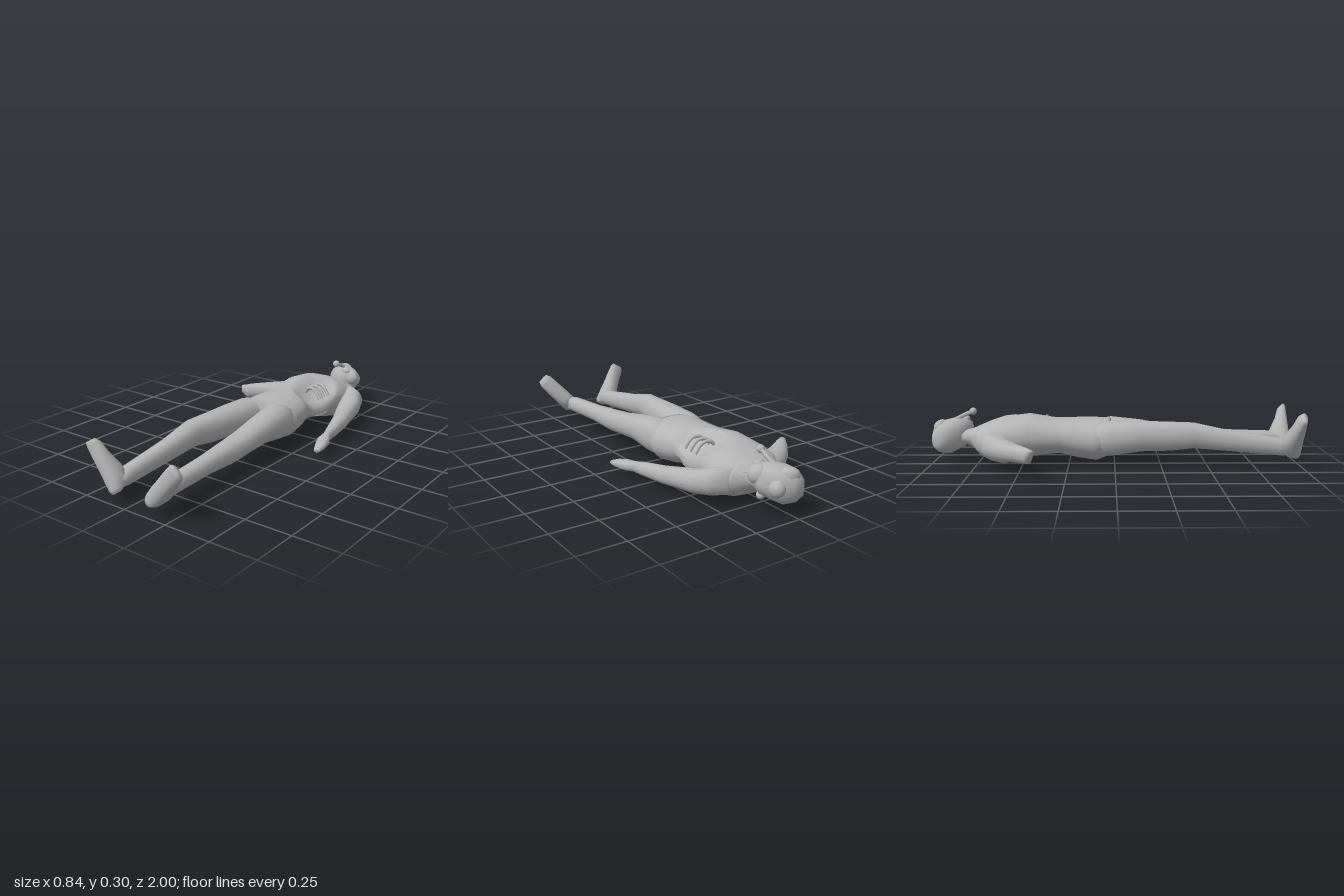
import * as THREE from 'three';

const grey = new THREE.MeshStandardMaterial({ color: 0xb4b4b4 });
grey.name = 'plain grey';
const V = (x, y, z) => new THREE.Vector3(x, y, z);

// Closed skin over rings [x, y, z, halfWidth, heightUp, heightDown], all square to one axis
function loft(name, axis, up, rings, { sides = 16, steps = 1, shape } = {}) {
  const a = axis.clone().normalize();
  const v = up.clone().addScaledVector(a, -up.dot(a)).normalize();
  const u = v.clone().cross(a);
  const rows = [];
  rings.forEach((r, i) => {
    const next = rings[i + 1];
    const count = next ? steps : 1;
    for (let s = 0; s < count; s++) rows.push(r.map((q, k) => (next ? q + (next[k] - q) * s / steps : q)));
  });
  const soft = (t) => Math.sign(t) * Math.pow(Math.abs(t), 0.88);
  const pos = [], index = [];
  for (const [x, y, z, w, hUp, hDown] of rows) {
    for (let j = 0; j < sides; j++) {
      const t = (j / sides) * Math.PI * 2, s = Math.sin(t);
      const p = V(x, y, z).addScaledVector(u, soft(Math.cos(t)) * w).addScaledVector(v, s > 0 ? soft(s) * hUp : s * hDown);
      if (shape) shape(p);
      pos.push(p.x, p.y, p.z);
    }
  }
  const n = rows.length;
  for (let i = 0; i < n - 1; i++) {
    for (let j = 0; j < sides; j++) {
      const k = (j + 1) % sides, A = i * sides, B = A + sides;
      index.push(A + j, A + k, B + j, A + k, B + k, B + j);
    }
  }
  // End caps
  const first = n * sides;
  pos.push(...rows[0].slice(0, 3), ...rows[n - 1].slice(0, 3));
  for (let j = 0; j < sides; j++) {
    const k = (j + 1) % sides, L = (n - 1) * sides;
    index.push(first, k, j, first + 1, L + j, L + k);
  }
  const g = new THREE.BufferGeometry();
  g.setAttribute('position', new THREE.Float32BufferAttribute(pos, 3));
  g.setIndex(index);
  g.computeVertexNormals();
  return mesh(name, g);
}

function mesh(name, geometry) {
  const m = new THREE.Mesh(geometry, grey);
  m.name = name;
  return m;
}

function ball(name, x, y, z, rx, ry = rx, rz = rx, turn = 0) {
  const m = mesh(name, new THREE.SphereGeometry(1, 20, 14));
  m.position.set(x, y, z);
  m.scale.set(rx, ry, rz);
  m.rotation.y = turn;
  return m;
}

function tube(name, points, radius) {
  return mesh(name, new THREE.TubeGeometry(new THREE.CatmullRomCurve3(points), 16, radius, 8));
}

// Ring along z from [x, z, halfWidth, top, bottom]
const slab = ([x, z, w, top, bottom]) => {
  const y = (top + bottom) / 2;
  return [x, y, z, w, top - y, y - bottom];
};

export function createModel() {
  const model = new THREE.Group();
  model.name = 'lyingFigure';
  const Z = V(0, 0, 1), Y = V(0, 1, 0);

  // Torso with a hollow wound in the chest
  const torso = [
    [0.045, -0.84, 0.06, 0.185, 0.11], [0.045, -0.775, 0.072, 0.19, 0.09],
    [0.04, -0.725, 0.155, 0.212, 0.045], [0.037, -0.67, 0.185, 0.235, 0.018],
    [0.037, -0.6, 0.185, 0.258, 0], [0.037, -0.46, 0.168, 0.275, 0.04],
    [0.025, -0.3, 0.15, 0.25, 0.06], [0.033, -0.2, 0.165, 0.25, 0.035],
    [0.032, -0.1, 0.178, 0.25, 0.02], [0.032, -0.02, 0.165, 0.245, 0.05],
  ].map(slab);
  const wound = (p) => {
    if (p.y < 0.13) return;
    const d = Math.hypot((p.x - 0.135) / 0.1, (p.z + 0.41) / 0.17);
    if (d < 1) p.y -= 0.07 * (1 - d * d);
  };
  model.add(loft('torso', Z, Y, torso, { sides: 40, steps: 5, shape: wound }));

  // Ribs showing in the wound
  for (const z of [-0.465, -0.42, -0.375]) {
    model.add(tube('rib', [V(0.08, 0.21, z - 0.012), V(0.11, 0.243, z - 0.005), V(0.15, 0.238, z + 0.003), V(0.19, 0.19, z + 0.008)], 0.009));
  }

  // Legs; the right knee is raised
  model.add(loft('rightLeg', Z, Y, [
    [-0.05, -0.14, 0.085, 0.22, 0.06], [-0.06, -0.02, 0.09, 0.244, 0.055], [-0.07, 0.14, 0.08, 0.246, 0.08],
    [-0.08, 0.3, 0.068, 0.243, 0.085], [-0.09, 0.42, 0.061, 0.24, 0.1], [-0.088, 0.6, 0.049, 0.2, 0.085],
    [-0.09, 0.88, 0.04, 0.155, 0.06], [-0.09, 0.95, 0.035, 0.13, 0.06],
  ].map(slab)));
  model.add(loft('leftLeg', Z, Y, [
    [0.11, -0.14, 0.085, 0.22, 0.06], [0.125, -0.02, 0.09, 0.244, 0.055], [0.135, 0.14, 0.076, 0.225, 0.08],
    [0.138, 0.3, 0.065, 0.195, 0.07], [0.14, 0.42, 0.06, 0.182, 0.06], [0.148, 0.6, 0.049, 0.166, 0.07],
    [0.162, 0.88, 0.039, 0.155, 0.065], [0.162, 0.95, 0.035, 0.13, 0.06],
  ].map(slab)));

  // Feet, splayed outward with soles facing forward
  const foot = (name, heel, toe) => {
    const axis = toe.clone().sub(heel);
    const rings = [
      [0, 0.022, 0.955, 0.995], [0.08, 0.04, 0.915, 1], [0.25, 0.048, 0.88, 1], [0.42, 0.047, 0.89, 1],
      [0.7, 0.045, 0.93, 1], [0.92, 0.043, 0.95, 1], [1, 0.032, 0.97, 0.998],
    ].map(([t, w, back, front]) => {
      const c = heel.clone().addScaledVector(axis, t), mid = (back + front) / 2;
      return [c.x, c.y, mid, w, front - mid, mid - back];
    });
    return loft(name, axis, Z, rings);
  };
  model.add(foot('rightFoot', V(-0.07, 0.052, 0), V(-0.212, 0.284, 0)));
  model.add(foot('leftFoot', V(0.135, 0.062, 0), V(0.317, 0.27, 0)));

  // Right arm, thrown out to the side
  model.add(loft('rightArm', V(-0.8, 0, 0.6), Y, [
    [-0.04, 0.125, -0.67, 0.08, 0.08, 0.08], [-0.13, 0.115, -0.63, 0.078, 0.066, 0.066],
    [-0.2, 0.112, -0.585, 0.066, 0.056, 0.06], [-0.28, 0.115, -0.53, 0.052, 0.047, 0.05],
    [-0.36, 0.115, -0.462, 0.036, 0.042, 0.042], [-0.385, 0.115, -0.437, 0.028, 0.038, 0.04],
    [-0.408, 0.135, -0.42, 0.018, 0.014, 0.025],
  ]));

  // Left arm, lying along the body
  model.add(loft('leftArm', V(0.2, -0.08, 0.95), Y, [
    [0.16, 0.125, -0.72, 0.05, 0.07, 0.06], [0.22, 0.12, -0.66, 0.075, 0.07, 0.065],
    [0.265, 0.105, -0.57, 0.062, 0.057, 0.06], [0.29, 0.093, -0.47, 0.052, 0.05, 0.05],
    [0.317, 0.083, -0.38, 0.045, 0.045, 0.043], [0.348, 0.073, -0.23, 0.029, 0.036, 0.034],
    [0.358, 0.068, -0.17, 0.021, 0.028, 0.028], [0.372, 0.062, -0.11, 0.036, 0.027, 0.028],
    [0.39, 0.058, -0.05, 0.028, 0.02, 0.023], [0.397, 0.05, -0.005, 0.015, 0.01, 0.012],
  ]));

  // Head, turned to the left
  const head = new THREE.Group();
  head.name = 'head';
  head.add(loft('skull', V(0.65, 0, 0.76), Y, [
    [-0.04, 0.14, -0.975, 0.025, 0.035, 0.04], [-0.02, 0.145, -0.955, 0.062, 0.07, 0.075],
    [0.02, 0.15, -0.915, 0.083, 0.09, 0.095], [0.06, 0.155, -0.87, 0.083, 0.093, 0.08],
    [0.095, 0.165, -0.835, 0.07, 0.08, 0.065], [0.12, 0.175, -0.805, 0.04, 0.05, 0.04],
  ], { steps: 2 }));
  head.add(ball('upperGoggle', 0.025, 0.2, -0.942, 0.055, 0.042, 0.036, -0.5));
  head.add(ball('sideGoggle', 0.085, 0.15, -0.935, 0.04, 0.045, 0.046));
  head.add(ball('muzzle', 0.115, 0.195, -0.845, 0.055, 0.05, 0.045, -0.6));
  head.add(ball('cheekKnob', 0.105, 0.095, -0.85, 0.022));
  head.add(ball('noseKnob', 0.095, 0.235, -0.82, 0.028, 0.02, 0.02));
  head.add(ball('topKnob', 0.05, 0.283, -0.775, 0.02));
  head.add(tube('topHose', [V(0.05, 0.283, -0.775), V(0.055, 0.265, -0.82), V(0.05, 0.24, -0.87), V(0.03, 0.22, -0.92)], 0.011));
  head.add(tube('strap', [V(0.105, 0.095, -0.85), V(0.125, 0.13, -0.87), V(0.12, 0.17, -0.9), V(0.075, 0.215, -0.92)], 0.01));
  // Pointed fang beside the mouth
  const from = V(0.11, 0.21, -0.845), to = V(0.185, 0.205, -0.795);
  const fang = mesh('fang', new THREE.ConeGeometry(0.017, from.distanceTo(to), 10));
  fang.position.copy(from).add(to).multiplyScalar(0.5);
  fang.quaternion.setFromUnitVectors(Y, to.clone().sub(from).normalize());
  head.add(fang);
  model.add(head);

  return model;
}
